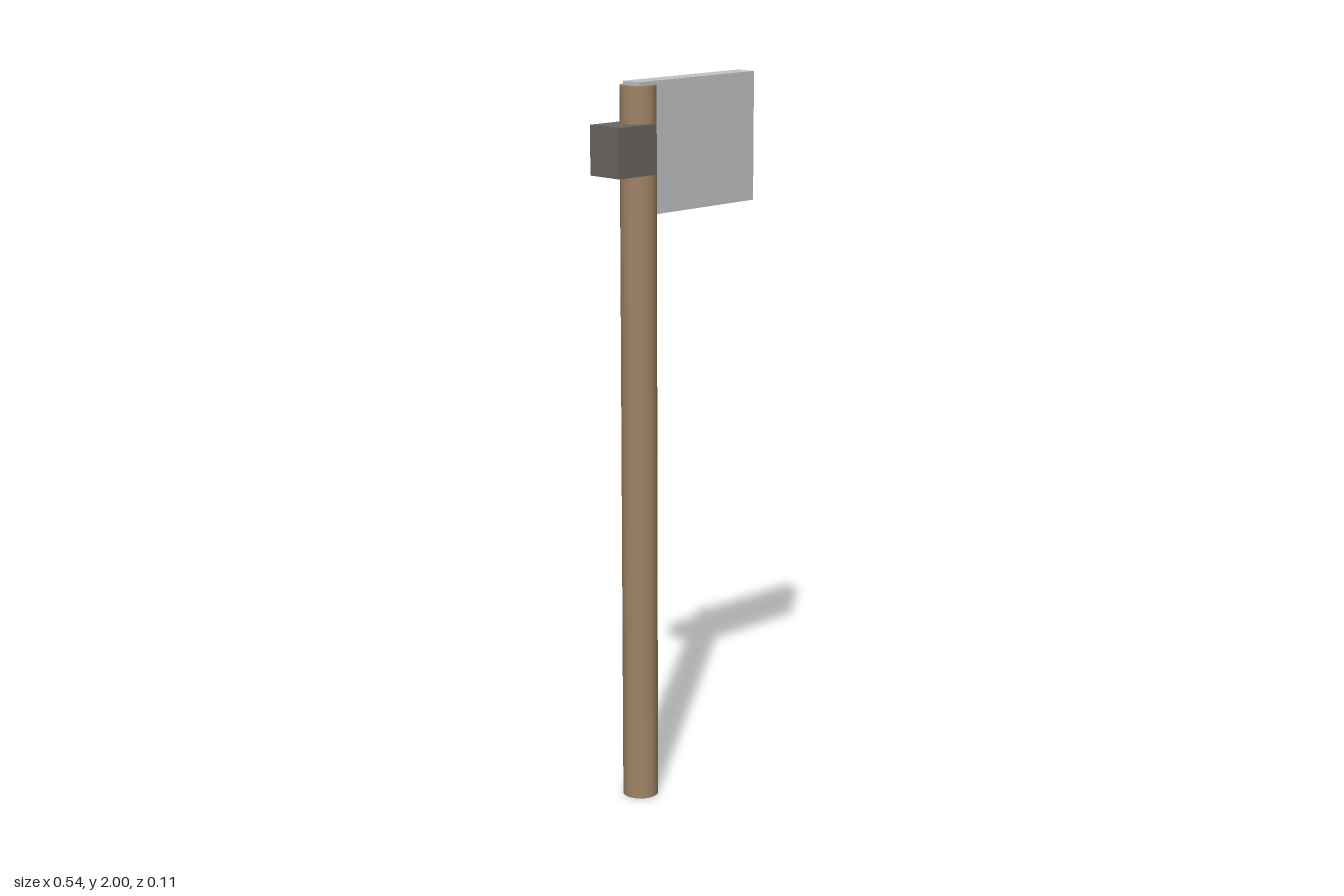
import * as THREE from 'three';

export function createModel() {
  const wood = new THREE.MeshStandardMaterial({ color: 0xa08466 });
  wood.name = 'wood';
  const steel = new THREE.MeshStandardMaterial({ color: 0xc4c4c8 });
  steel.name = 'steel';
  const darkIron = new THREE.MeshStandardMaterial({ color: 0x6a6662 });
  darkIron.name = 'dark iron';

  const model = new THREE.Group();
  model.name = 'axe';

  function add(name, geometry, material, x, y, z = 0) {
    const mesh = new THREE.Mesh(geometry, material);
    mesh.name = name;
    mesh.position.set(x, y, z);
    model.add(mesh);
  }

  // Long round shaft, standing on the ground
  add('handle', new THREE.CylinderGeometry(0.049, 0.049, 1.99, 24), wood, -0.146, 0.995);

  // Broad flat blade, let into the top of the shaft
  add('blade', new THREE.BoxGeometry(0.44, 0.355, 0.059), steel, 0.048, 1.8225);

  // Heavy block at the back, wrapping half of the shaft
  add('poll', new THREE.BoxGeometry(0.137, 0.134, 0.11), darkIron, -0.2005, 1.823);

  return model;
}
